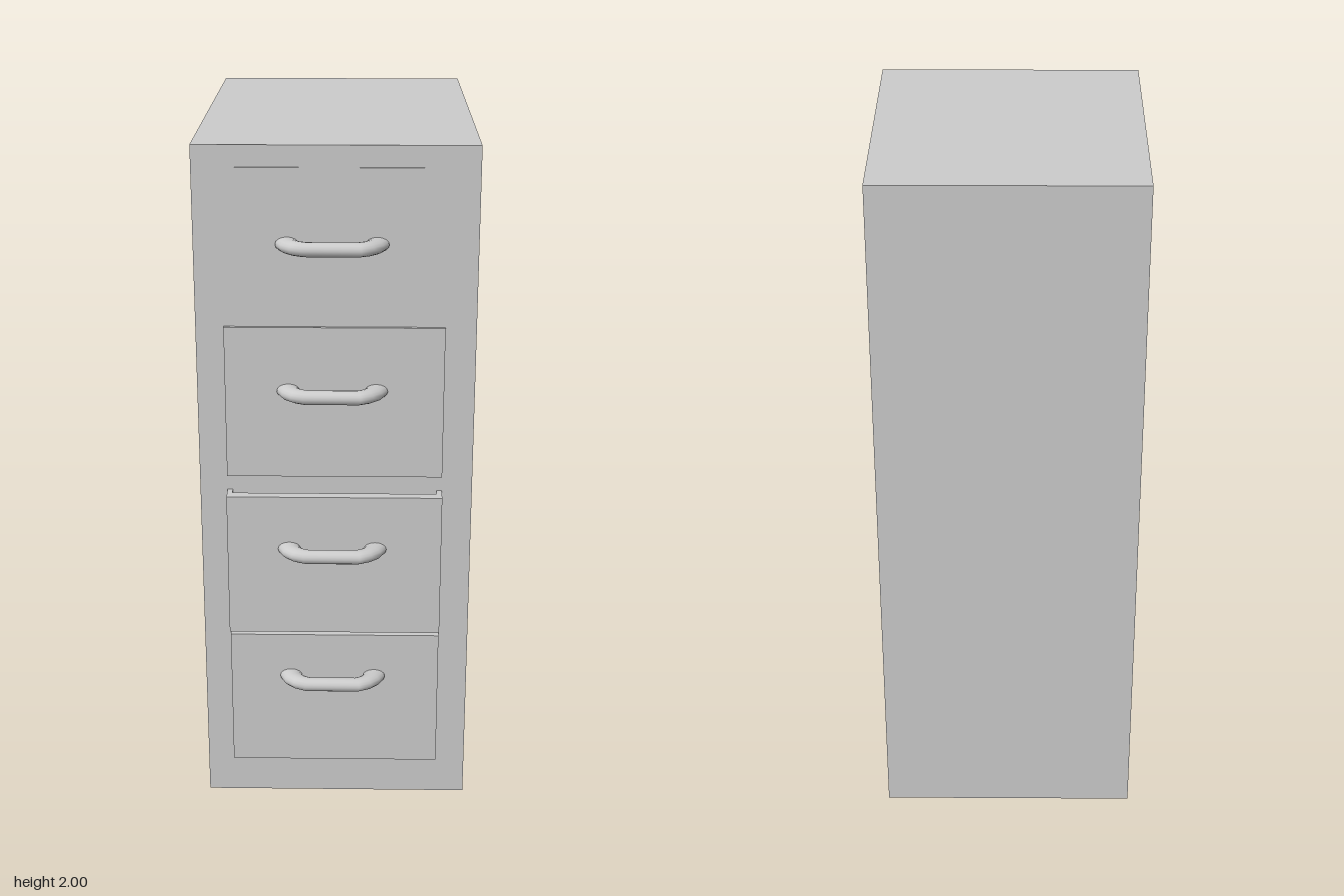
import * as THREE from 'three';

const FRONT = 0.43, BACK = -0.56;

export function createModel() {
  const grey = new THREE.MeshStandardMaterial({ color: 0xcccccc, side: THREE.DoubleSide });
  const model = new THREE.Group();
  model.name = 'filingCabinet';

  const add = (parent, name, geometry, x = 0, y = 0, z = 0) => {
    const mesh = new THREE.Mesh(geometry, grey);
    mesh.name = name;
    mesh.position.set(x, y, z);
    parent.add(mesh);
    return mesh;
  };
  // Box given by its limits on each axis
  const addBox = (parent, name, [x0, x1], [y0, y1], [z0, z1]) =>
    add(parent, name, new THREE.BoxGeometry(x1 - x0, y1 - y0, z1 - z0),
      (x0 + x1) / 2, (y0 + y1) / 2, (z0 + z1) / 2);

  // Cabinet body, slightly narrower at the back
  const body = new THREE.Shape([
    new THREE.Vector2(-0.388, -FRONT), new THREE.Vector2(0.388, -FRONT),
    new THREE.Vector2(0.368, -BACK), new THREE.Vector2(-0.368, -BACK),
  ]);
  const bodyGeometry = new THREE.ExtrudeGeometry(body, { depth: 2, bevelEnabled: false });
  bodyGeometry.rotateX(-Math.PI / 2);
  add(model, 'cabinetBody', bodyGeometry);

  // Drawers: bottom, top, front face, and whether the open tray shows
  const drawers = [
    { y0: 1.51, y1: 1.94, z: 0.433, handleY: 1.73 },
    { y0: 1.05, y1: 1.495, z: 0.439, handleY: 1.31 },
    { y0: 0.575, y1: 1.005, z: 0.485, handleY: 0.845, open: true },
    { y0: 0.125, y1: 0.55, z: 0.456, handleY: 0.415 },
  ];
  const handle = handleGeometry();
  for (const d of drawers) {
    const drawer = new THREE.Group();
    drawer.name = 'drawer';
    addBox(drawer, 'drawerFront', [-0.31, 0.302], [d.y0, d.y1], [d.z - 0.03, d.z]);
    if (d.open) {
      const depth = [-0.1, d.z - 0.03];
      addBox(drawer, 'traySide', [-0.31, -0.295], [d.y0, d.y1], depth);
      addBox(drawer, 'traySide', [0.287, 0.302], [d.y0, d.y1], depth);
      addBox(drawer, 'trayFloor', [-0.295, 0.287], [d.y0, d.y0 + 0.015], depth);
    }
    add(drawer, 'handle', handle, -0.01, d.handleY, d.z);
    model.add(drawer);
  }
  return model;
}

// Bent pull handle: oval rings spanning outer and inner outline points
function handleGeometry() {
  const half = [ // outer x, outer z, inner x, inner z
    [-0.155, -0.01, -0.09, -0.01],
    [-0.155, 0.005, -0.09, 0.005],
    [-0.14, 0.037, -0.084, 0.018],
    [-0.115, 0.06, -0.075, 0.028],
    [-0.08, 0.076, -0.062, 0.034],
  ];
  const sections = [...half, ...half.map(([a, b, c, d]) => [-a, b, -c, d]).reverse()];
  const sides = 16, positions = [], index = [];
  sections.forEach(([ox, oz, ix, iz], s) => {
    for (let i = 0; i < sides; i++) {
      const a = (i / sides) * Math.PI * 2, t = (1 + Math.cos(a)) / 2;
      positions.push(ix + (ox - ix) * t, 0.02 * Math.sin(a), iz + (oz - iz) * t);
      if (s === 0) continue;
      const j = (i + 1) % sides, p = (s - 1) * sides, q = s * sides;
      index.push(p + i, q + i, p + j, q + i, q + j, p + j);
    }
  });
  const geometry = new THREE.BufferGeometry();
  geometry.setAttribute('position', new THREE.Float32BufferAttribute(positions, 3));
  geometry.setIndex(index);
  geometry.computeVertexNormals();
  return geometry;
}
